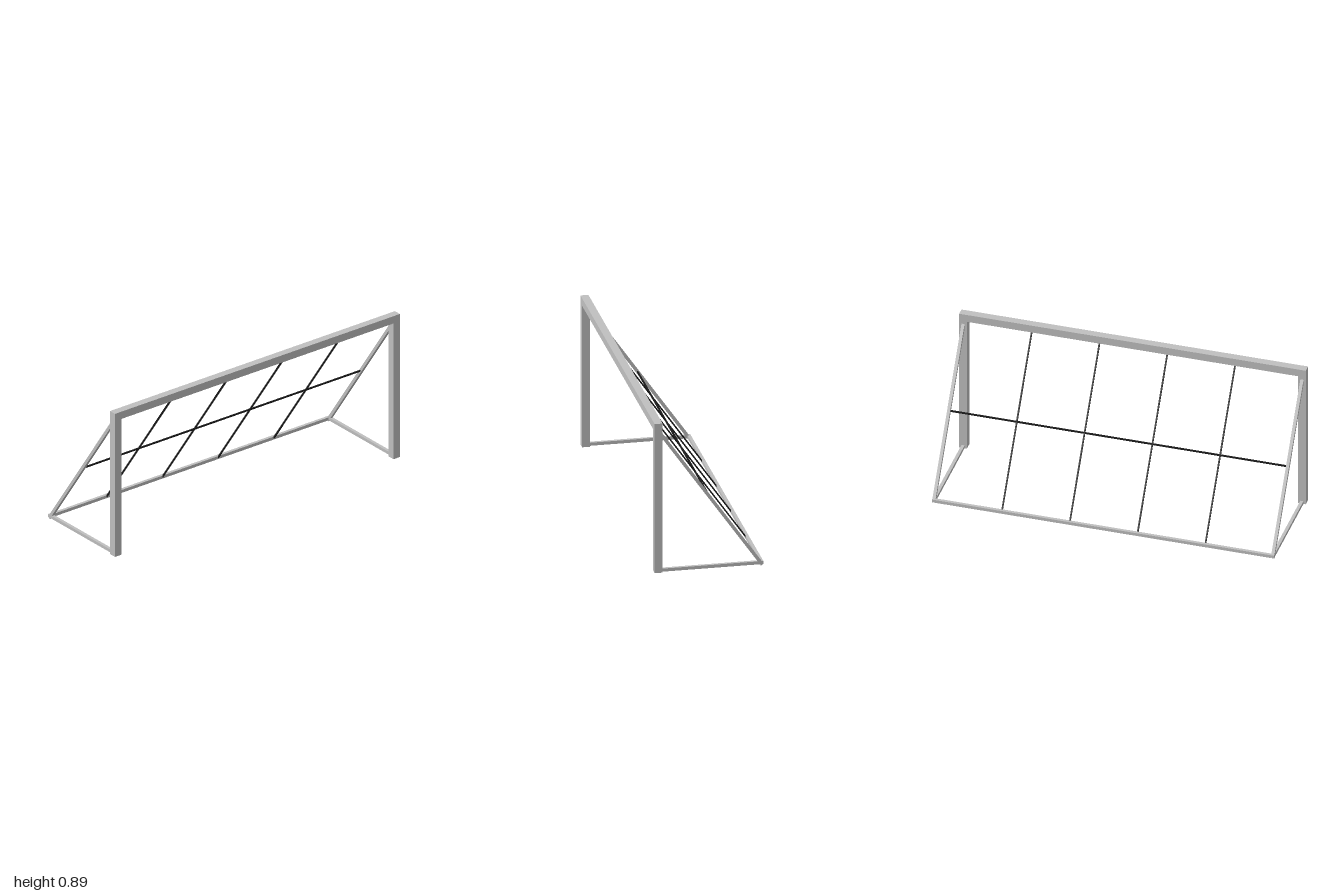
import * as THREE from 'three';

export function createModel() {
  const model = new THREE.Group();
  model.name = 'goal';
  const frameGrey = new THREE.MeshStandardMaterial({ color: 0xc0c0c0 });
  frameGrey.name = 'frame grey';
  const netBlack = new THREE.MeshStandardMaterial({ color: 0x1a1a1a });
  netBlack.name = 'net black';

  // Square bar running from point a to point b
  function bar(name, a, b, thickness, material) {
    const from = new THREE.Vector3(...a), to = new THREE.Vector3(...b);
    const mesh = new THREE.Mesh(
      new THREE.BoxGeometry(thickness, thickness, from.distanceTo(to)), material);
    mesh.position.copy(from).add(to).multiplyScalar(0.5);
    mesh.lookAt(to);
    mesh.name = name;
    model.add(mesh);
  }

  const post = 0.045, tube = 0.018, cord = 0.008;
  const sideX = 0.9775, frontZ = 0.2865, backZ = -0.299;
  const bottom = 0.0085, railY = bottom + tube / 2;
  const slopeTop = [0.847, frontZ], slopeEnd = [0.0055, -0.3015];

  // Front frame
  bar('crossbar', [-1, 0.8705, frontZ], [1, 0.8705, frontZ], post, frameGrey);
  for (const side of [1, -1]) {
    const label = side > 0 ? 'left' : 'right', x = side * sideX;
    bar(label + 'Post', [x, bottom, frontZ], [x, 0.848, frontZ], post, frameGrey);
    // Side supports
    bar(label + 'BaseRail', [x, railY, frontZ], [x, railY, -0.308], tube, frameGrey);
    bar(label + 'Brace', [x, ...slopeTop], [x, ...slopeEnd], tube, frameGrey);
  }
  bar('backRail', [-sideX, railY, backZ], [sideX, railY, backZ], tube, frameGrey);

  // Net cords lying in the sloping back plane
  for (let i = 1; i < 5; i++) {
    const x = -sideX + (i * 2 * sideX) / 5;
    bar('netCord' + i, [x, ...slopeTop], [x, railY, -0.293], cord, netBlack);
  }
  bar('netCrossCord', [-sideX, 0.427, -0.007], [sideX, 0.427, -0.007], cord, netBlack);
  return model;
}
